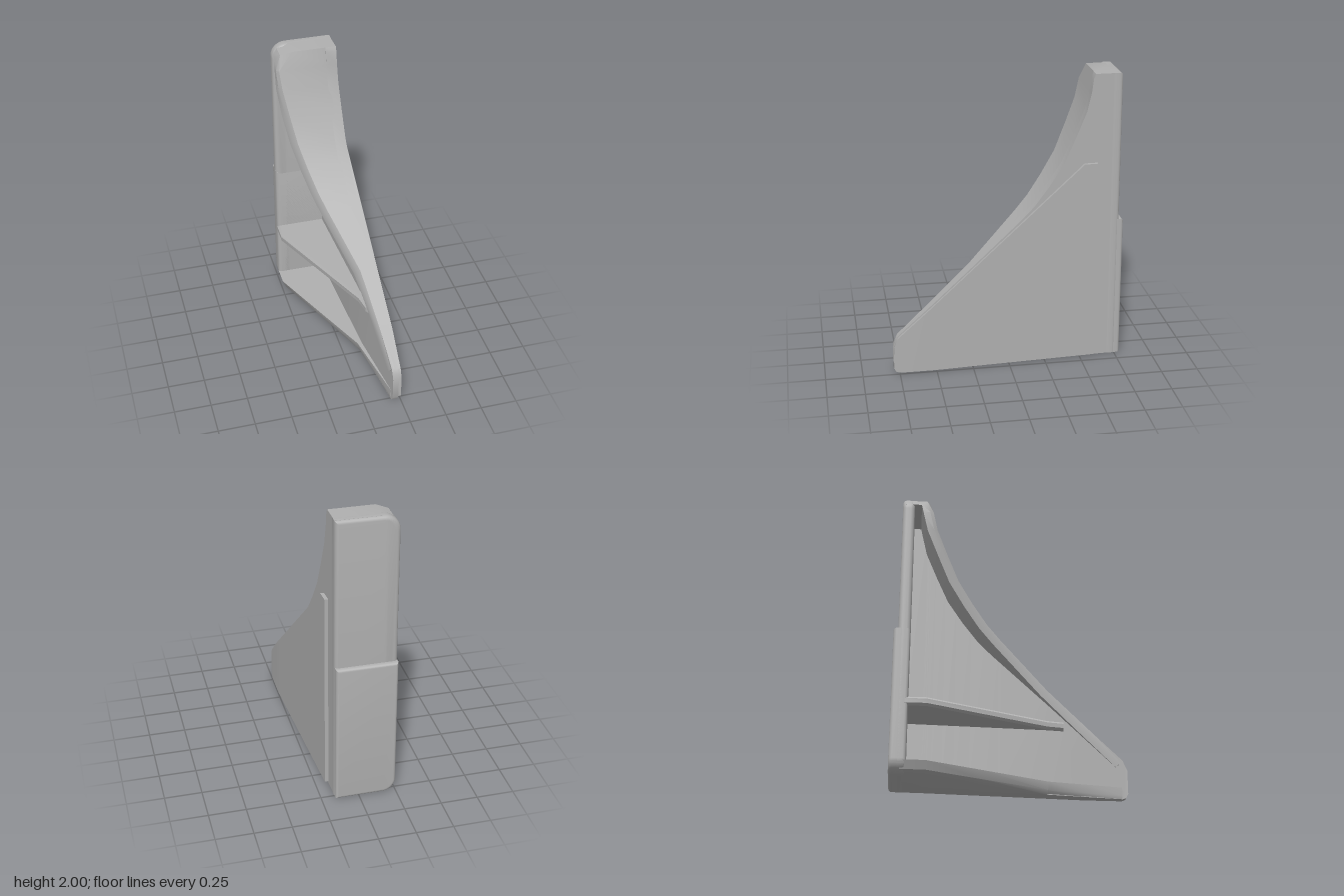
import * as THREE from 'three';
import { toCreasedNormals } from 'three/addons/utils/BufferGeometryUtils.js';

// Piecewise-linear lookup in a list of [z, value] knots
function at(knots, z) {
  if (z <= knots[0][0]) return knots[0][1];
  for (let i = 1; i < knots.length; i++) {
    const [z0, v0] = knots[i - 1], [z1, v1] = knots[i];
    if (z <= z1) return v0 + ((v1 - v0) * (z - z0)) / (z1 - z0);
  }
  return knots[knots.length - 1][1];
}

// Closed solid through a row of convex cross-sections (arrays of [x, y, z])
function loft(sections) {
  const n = sections[0].length, last = (sections.length - 1) * n;
  const pts = sections.flat(), index = [];
  for (let s = 0; s < last; s += n) {
    for (let i = 0; i < n; i++) {
      const a = s + i, b = s + ((i + 1) % n);
      index.push(a, b, a + n, b, b + n, a + n);
    }
  }
  for (let i = 1; i < n - 1; i++) {
    index.push(0, i + 1, i, last, last + i, last + i + 1);
  }
  // Turn the solid outward if its signed volume is negative
  const v = (i) => new THREE.Vector3(...pts[i]);
  let volume = 0;
  for (let i = 0; i < index.length; i += 3) {
    volume += v(index[i]).dot(v(index[i + 1]).cross(v(index[i + 2])));
  }
  if (volume < 0) index.reverse();
  const g = new THREE.BufferGeometry();
  g.setAttribute('position', new THREE.Float32BufferAttribute(pts.flat(), 3));
  g.setIndex(index);
  return toCreasedNormals(g, 0.6);
}

// Upright plate whose open-side corners are rounded
function plate(x0, x1, y0, y1, rBottom, rTop, zBack, zFront, bevel) {
  const s = new THREE.Shape();
  s.moveTo(x1, y0);
  s.lineTo(x1, y1);
  s.lineTo(x0 + rTop, y1);
  if (rTop) s.absarc(x0 + rTop, y1 - rTop, rTop, Math.PI / 2, Math.PI, false);
  s.lineTo(x0, y0 + rBottom);
  if (rBottom) s.absarc(x0 + rBottom, y0 + rBottom, rBottom, Math.PI, Math.PI * 1.5, false);
  const g = new THREE.ExtrudeGeometry(s, {
    depth: zFront - zBack - 2 * bevel, bevelSize: bevel, bevelThickness: bevel,
    bevelOffset: -bevel, bevelSegments: 4, curveSegments: 10,
  });
  g.translate(0, 0, zBack + bevel);
  return toCreasedNormals(g, 0.6);
}

export function createModel() {
  const group = new THREE.Group();
  const grey = new THREE.MeshStandardMaterial({ color: 0xb0b0b0 });
  grey.name = 'plain grey';
  const add = (name, geometry) => {
    const mesh = new THREE.Mesh(geometry, grey);
    mesh.name = name;
    group.add(mesh);
  };

  // Plan outlines (x by z) and the sloping top profile (y by z)
  const openEdge = [[-0.56, -0.25], [0.25, 0.1], [0.78, 0.19]];
  const wallInner = [[-0.79, 0.08], [0.25, 0.13], [0.78, 0.19]];
  const wallOuter = [[-0.79, 0.156], [-0.58, 0.162], [0.5, 0.23], [0.79, 0.23]];
  const panelOuter = [[-0.6, 0.185], [0.55, 0.25], [0.79, 0.25]];
  const profile = [[-0.74, 2], [-0.575, 2], [-0.562, 1.97], [-0.55, 1.88], [-0.52, 1.75],
    [-0.45, 1.58], [-0.37, 1.4], [-0.27, 1.25], [-0.17, 1.12], [-0.08, 1.03],
    [0.25, 0.73], [0.5, 0.505], [0.76, 0.27], [0.79, 0.2]];
  const bottom = [[0.75, 0], [0.775, 0.01], [0.79, 0.04]];

  // Back plate with a thicker lower pad
  add('backPlate', plate(-0.25, 0.16, 0, 2, 0.09, 0.1, -0.76, -0.68, 0.025));
  add('backPad', plate(-0.25, 0.157, 0, 0.99, 0.09, 0, -0.79, -0.68, 0.02));

  // Tapered side wall
  const wallZ = [...profile.map((p) => p[0]), -0.58, 0.75, 0.775].sort((a, b) => a - b);
  add('sideWall', loft(wallZ.map((z) => {
    const xi = at(wallInner, z), xo = at(wallOuter, z), y0 = at(bottom, z), y1 = at(profile, z);
    return [[xi, y0, z], [xo, y0, z], [xo, y1, z], [xi, y1, z]];
  })));

  // Raised panel on the outside of the wall
  const panelTop = [[-0.6, 1.4], [-0.51, 1.4], [0.76, 0.26], [0.785, 0.2]];
  add('sidePanel', loft([-0.6, -0.51, 0.5, 0.55, 0.75, 0.76, 0.785].map((z) => {
    const xi = at(wallOuter, z) - 0.01, xo = at(panelOuter, z);
    const y0 = 0.01 + at(bottom, z), y1 = at(panelTop, z);
    return [[xi, y0, z], [xo, y0, z], [xo, y1, z], [xi, y1, z]];
  })));

  // Curved top flange, offset inward along the profile
  const path = profile.filter((p, i) => i !== 2 && p[0] < 0.77);
  const round = (y) => (y > 1.9 ? 0.1 - Math.sqrt(Math.max(0, 0.01 - (y - 1.9) ** 2)) : 0);
  const edge = (z, y) => Math.min(at(openEdge, z) + round(y), at(wallInner, z) + 0.01);
  add('topFlange', loft(path.map(([z, y], i) => {
    const dir = (a, b) => new THREE.Vector2(b[0] - a[0], b[1] - a[1]).normalize();
    const d0 = dir(path[Math.max(i - 1, 0)], path[Math.max(i, 1)]);
    const d1 = i < path.length - 1 ? dir(path[i], path[i + 1]) : d0;
    const d = d0.clone().add(d1).normalize();
    const t = 0.07 / d.dot(d0);
    const ring = [0, 0.35, 1].map((f) => {
      const pz = z + d.y * t * f, py = y - d.x * t * f;
      return [edge(pz, py) + (f === 0 ? 0.012 : 0), py, pz];
    });
    const zi = ring[2][2];
    ring.push([at(wallInner, zi) + 0.02, ring[2][1], zi], [at(wallInner, z) + 0.02, y, z]);
    return ring;
  })));

  // Bottom flange with a rounded lower edge
  add('bottomFlange', loft([-0.72, -0.56, -0.2, 0.25, 0.5, 0.75].map((z) => {
    const x = at(openEdge, z), xo = at(wallInner, z) + 0.02;
    const r = 0.08 * Math.min(1, (0.78 - z) / 1.2);
    return [[x + r, 0, z], [x + r * 0.3, 0.025, z], [x, 0.08, z], [xo, 0.08, z], [xo, 0, z]];
  })));

  // Horizontal stiffening rib with a rounded edge
  add('middleRib', loft([-0.72, -0.56, 0.25, 0.36].map((z) => {
    const x = at(openEdge, z), xo = at(wallInner, z) + 0.02;
    return [[x + 0.015, 0.45, z], [x, 0.465, z], [x, 0.495, z], [x + 0.015, 0.51, z],
      [xo, 0.51, z], [xo, 0.45, z]];
  })));

  return group;
}
